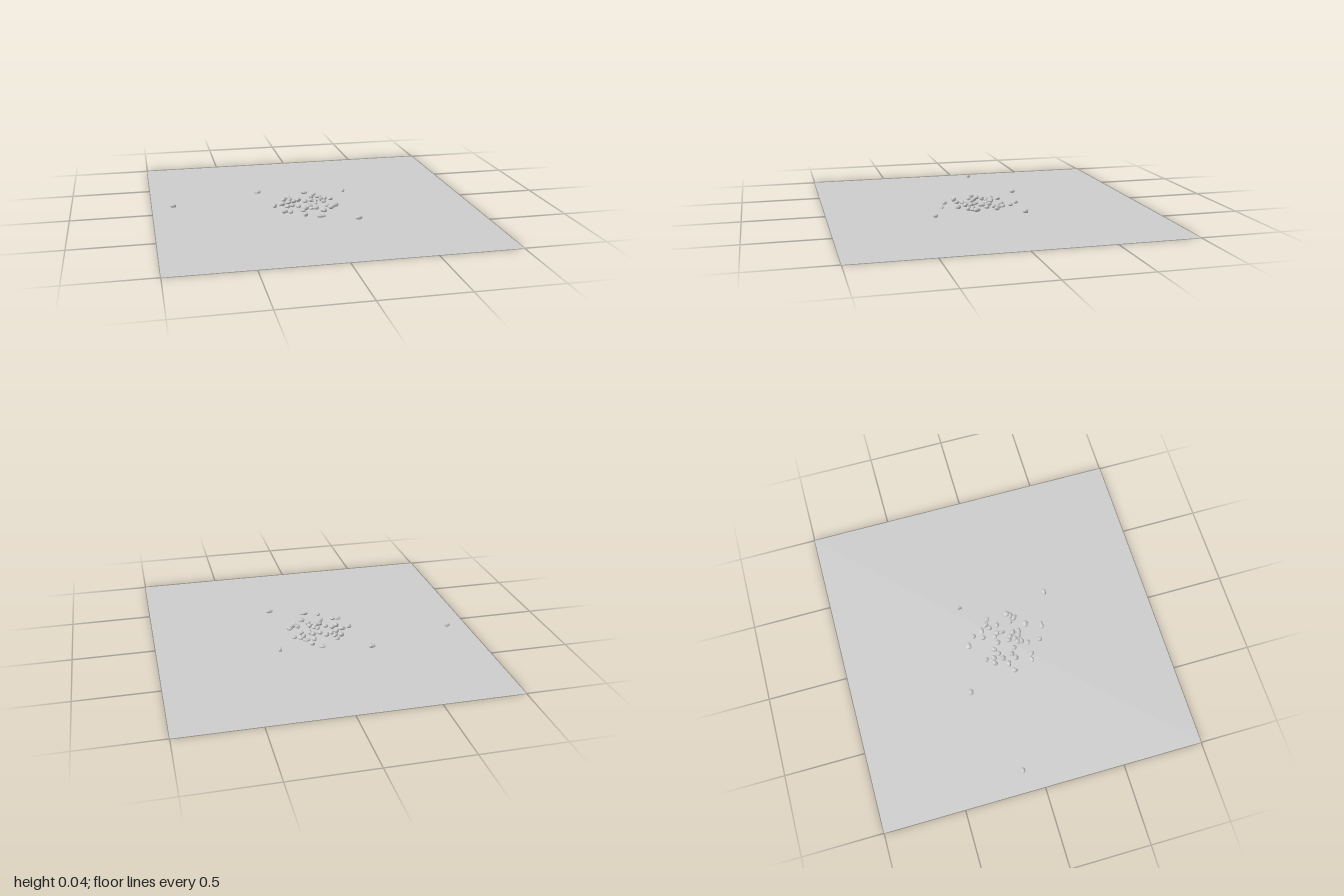
import * as THREE from 'three';

// Small seeded generator for repeatable variation
function seeded(seed) {
  let s = seed;
  return () => (s = (s * 16807) % 2147483647) / 2147483647;
}

// Rough faceted stone: a ball whose corners are pushed by smooth waves
function pebbleGeometry(rx, ry, rz, rand) {
  const g = new THREE.IcosahedronGeometry(1, 1);
  const p = g.attributes.position;
  const v = new THREE.Vector3();
  const a = rand() * 6.28, b = rand() * 6.28, c = rand() * 6.28;
  for (let i = 0; i < p.count; i++) {
    v.fromBufferAttribute(p, i);
    const k = 1 + 0.1 * Math.sin(2.3 * v.x + a) + 0.1 * Math.sin(2.7 * v.z + b)
      + 0.07 * Math.sin(4 * v.y + 3 * v.x + c);
    p.setXYZ(i, v.x * k * rx, Math.max(v.y, -0.75) * k * ry, v.z * k * rz);
  }
  g.computeVertexNormals();
  return g;
}

// Pebble centres: x, z in hundredths
const cluster = [
  [-12.8, -12.3], [-16.6, -8], [-12.8, -7.5], [-7.5, -6], [-10.7, -4], [-14.5, -2],
  [-19.3, 0.3], [-24.3, 2.6], [2, -10.8], [4.4, -16.2], [10, -7], [7.5, -5],
  [13.4, -5], [0.5, -3.4], [2.6, -1.4], [-3.7, -2.4], [8, 0], [-13.4, 4],
  [-16.4, 6], [-9.7, 6.4], [-3.7, 4.5], [-1.6, 6.2], [8, 9.2], [9.8, 12], [11.7, 10.5],
  [0.5, 9], [-3.7, 9], [-6.4, 9.8], [-6.4, 12.7], [0.3, 12.3], [-2.4, 11.8],
  [-8.7, 16], [-16.6, 16], [-20, 15], [-8.5, 23.7],
];

// Distinct stones: x, z, half width, half depth in hundredths
const distinct = [
  [-30.6, -27.5, 2, 1.9], [-87, -10.3, 1.7, 1.6], [-0.8, -21, 2.3, 1.8],
  [25.8, -20, 0.9, 1.9], [6.7, -10.5, 2.3, 1.7], [2.2, 2.2, 1.1, 2.2],
  [13.9, 8, 2, 2.3], [3.8, 18, 2.1, 2.2], [0.4, 27.8, 2.6, 1.6], [21.8, 35.8, 1.9, 1.7],
];

export function createModel() {
  const model = new THREE.Group();
  const groundGrey = new THREE.MeshStandardMaterial({ color: 0xcccccc, side: THREE.DoubleSide });
  groundGrey.name = 'ground grey';
  const stoneGrey = new THREE.MeshStandardMaterial({ color: 0xc8c8c8, flatShading: true });
  stoneGrey.name = 'stone grey';

  // Flat square ground sheet
  const ground = new THREE.Mesh(new THREE.PlaneGeometry(2, 2).rotateX(-Math.PI / 2), groundGrey);
  ground.name = 'ground';
  model.add(ground);

  // Scattered pebbles resting on the ground
  const pebbles = new THREE.Group();
  pebbles.name = 'pebbles';
  model.add(pebbles);
  const rand = seeded(4821);
  const addPebble = (x, z, rx, rz, turn) => {
    const ry = 0.011 + 0.003 * rand();
    const pebble = new THREE.Mesh(pebbleGeometry(rx, ry, rz, rand), stoneGrey);
    pebble.name = 'pebble';
    pebble.position.set(x / 100, 0.007 + ry, z / 100);
    pebble.rotation.y = turn;
    pebbles.add(pebble);
  };
  for (const [x, z] of cluster) {
    addPebble(x, z, 0.016 + 0.005 * rand(), 0.013 + 0.004 * rand(), rand() * 6.28);
  }
  for (const [x, z, rx, rz] of distinct) addPebble(x, z, rx / 100, rz / 100, 0);

  return model;
}
